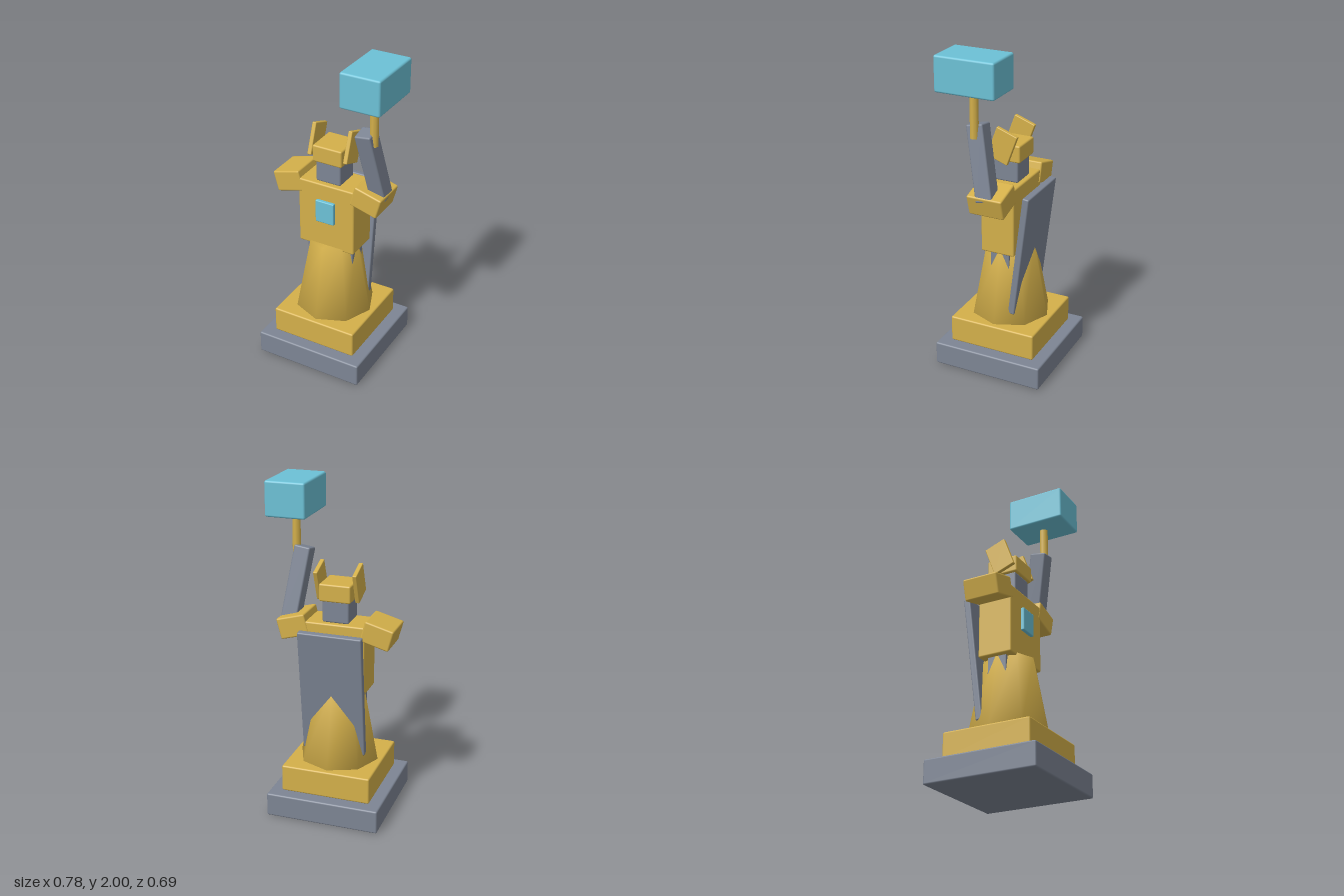
import * as THREE from 'three';
import { RoundedBoxGeometry } from 'three/addons/geometries/RoundedBoxGeometry.js';
import { mergeVertices } from 'three/addons/utils/BufferGeometryUtils.js';

const material = (name, color) => Object.assign(new THREE.MeshStandardMaterial({ color }), { name });

export function createModel() {
  const gold = material('gold', 0xd4b04a);
  const steel = material('steel', 0x7d8594);
  const blue = material('glowing blue', 0x6cc1d6);
  const model = new THREE.Group();
  model.name = 'hammerStatue';
  const CX = -0.032; // the body's axis; the hammer reaches out to one side

  function add(name, geometry, mat, x, y, z) {
    const mesh = new THREE.Mesh(geometry, mat);
    mesh.name = name;
    mesh.position.set(x, y, z);
    model.add(mesh);
    return mesh;
  }
  // Box with slightly softened edges
  function box(name, mat, [w, h, d], [x, y, z], bevel = 0.01) {
    const r = Math.min(bevel, w * 0.25, h * 0.25, d * 0.25);
    return add(name, new RoundedBoxGeometry(w, h, d, 2, r), mat, x, y, z);
  }

  // Two-step plinth
  box('plinthBase', steel, [0.695, 0.145, 0.695], [CX, 0.0725, 0]);
  box('plinthStep', gold, [0.55, 0.165, 0.55], [CX, 0.228, 0]);

  // Eight-sided robe, shaded smoothly over its rims
  let robe = new THREE.CylinderGeometry(0.155, 0.245, 0.465, 8);
  robe.deleteAttribute('uv');
  robe.deleteAttribute('normal');
  robe = mergeVertices(robe);
  robe.computeVertexNormals();
  add('robe', robe, gold, CX, 0.5425, 0);

  // Hips show through the sides of the robe
  box('hips', steel, [0.308, 0.3, 0.12], [CX, 0.64, 0], 0.004);

  // Torso and chest gem
  box('torso', gold, [0.37, 0.427, 0.214], [CX, 0.973, 0.001]);
  box('chestGem', blue, [0.122, 0.144, 0.04], [CX, 1.01, 0.108], 0.006);

  // Head, helmet and swept-back helmet wings
  box('head', steel, [0.162, 0.135, 0.162], [CX, 1.255, 0]);
  box('helmet', gold, [0.192, 0.106, 0.196], [CX, 1.371, -0.002]);

  for (const [side, s] of [['left', 1], ['right', -1]]) {
    const wing = box(side + 'HelmetWing', gold, [0.026, 0.192, 0.138], [CX + s * 0.118, 1.421, -0.002], 0.005);
    wing.rotation.x = -0.35;
    const shoulder = box(side + 'Shoulder', gold, [0.18, 0.129, 0.222], [CX + s * 0.258, 1.144, -0.001]);
    shoulder.rotation.z = -s * 0.27;
  }

  // Raised arm, aimed from shoulder to hand
  const low = new THREE.Vector3(0.277, 1.15, 0.0);
  const high = new THREE.Vector3(0.215, 1.587, 0.088);
  const reach = high.clone().sub(low);
  const mid = low.clone().lerp(high, 0.5);
  const arm = box('raisedArm', steel, [0.1, reach.length(), 0.105], mid.toArray());
  arm.quaternion.setFromUnitVectors(new THREE.Vector3(0, 1, 0), reach.normalize());

  // Hammer
  add('hammerHandle', new THREE.CylinderGeometry(0.026, 0.026, 0.3, 8), gold, 0.265, 1.665, 0.083);
  box('hammerHead', blue, [0.245, 0.21, 0.368], [0.266, 1.895, 0.081], 0.012);

  // Stiff cape leaning away from the back
  const cape = box('cape', steel, [0.39, 0.778, 0.042], [CX, 0.764, -0.138], 0.008);
  cape.rotation.x = -0.12;

  return model;
}
